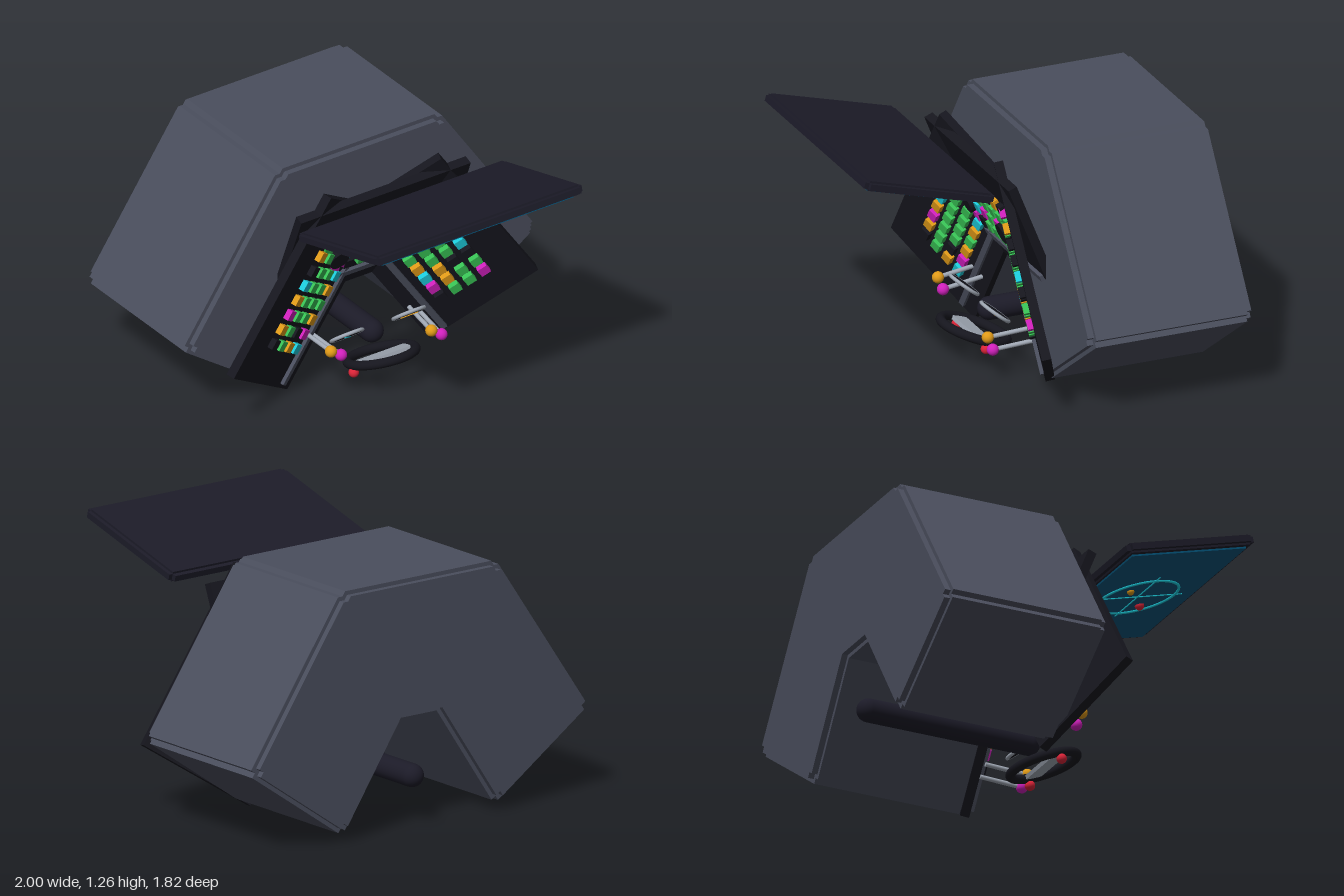
import * as THREE from 'three';

const mat = (name, color) => {
  const m = new THREE.MeshStandardMaterial({ color });
  m.name = name;
  return m;
};
const M = {
  body: mat('slate grey', 0x4a4e5d), console: mat('console black', 0x16161e),
  shell: mat('shell dark', 0x1c1b28), metal: mat('light metal', 0xa0a8b4),
  screen: mat('deep teal', 0x02547a), c: mat('cyan', 0x1cccdc),
  g: mat('green', 0x38c255), m: mat('magenta', 0xd020bc),
  o: mat('orange', 0xe09a18), r: mat('red', 0xdc2438),
};
const RAD = Math.PI / 180;
const TILT = 21.7 * RAD;   // how far each control panel leans
const WING = 55 * RAD;     // how far the side panels turn

function add(parent, name, geo, material, x = 0, y = 0, z = 0) {
  const mesh = new THREE.Mesh(geo, material);
  mesh.name = name;
  mesh.position.set(x, y, z);
  parent.add(mesh);
  return mesh;
}
function group(parent, name, x, y, z) {
  const g = new THREE.Group();
  g.name = name;
  g.position.set(x, y, z);
  parent.add(g);
  return g;
}
const box = (w, h, d) => new THREE.BoxGeometry(w, h, d);
const ball = (r) => new THREE.SphereGeometry(r, 20, 14);

// Round bar between two points
function rod(parent, name, a, b, r, material) {
  const p = new THREE.Vector3(...a), q = new THREE.Vector3(...b);
  const dir = q.clone().sub(p);
  const mesh = add(parent, name, new THREE.CylinderGeometry(r, r, dir.length(), 14), material);
  mesh.position.copy(p).add(q).multiplyScalar(0.5);
  mesh.quaternion.setFromUnitVectors(new THREE.Vector3(0, 1, 0), dir.normalize());
}

// Arch outline, moved inward by an inset, with stepped outer corners
function archShape(inset) {
  const raw = [[0.455, 0.024], [1.016, 0.412], [0.465, 1.215], [-0.465, 1.215], [-1.016, 0.412], [-0.455, 0.024],
    [-0.11, 0.54], [0.11, 0.54]].map((p) => new THREE.Vector2(...p));
  const n = raw.length, step = 0.028, out = [];
  raw.forEach((v, i) => {
    const d1 = v.clone().sub(raw[(i + n - 1) % n]).normalize();
    const d2 = raw[(i + 1) % n].clone().sub(v).normalize();
    const n1 = new THREE.Vector2(-d1.y, d1.x), n2 = new THREE.Vector2(-d2.y, d2.x);
    const k = inset / (1 + n1.dot(n2));
    const c = v.clone().addScaledVector(n1, k).addScaledVector(n2, k);
    if (i > 5) { out.push(c); return; }
    const before = c.clone().addScaledVector(d1, -step);
    out.push(before, before.clone().addScaledVector(d2, step), c.clone().addScaledVector(d2, step));
  });
  return new THREE.Shape(out);
}
function slab(parent, name, inset, z0, z1) {
  const geo = new THREE.ExtrudeGeometry(archShape(inset), { depth: z1 - z0, bevelEnabled: false });
  add(parent, name, geo, M.body, 0, 0, z0);
}

// Tilted control panel: x runs along it, y away from the inner edge, z out of its face
function controlPanel(parent, name, x, y, turn, rows) {
  const p = group(parent, name, x, y, -0.1);
  p.rotation.order = 'ZXY';
  p.rotation.set(TILT, 0, turn);
  add(p, 'panelBoard', box(0.975, 0.61, 0.045), M.console, 0, 0.305, -0.0225);
  add(p, 'innerRail', box(0.93, 0.03, 0.02), M.body, 0, 0.09, 0.008);
  rows.forEach((row, j) => [...row].forEach((key, i) => {
    add(p, 'button', box(0.05, 0.05, 0.03), M[key] || M.console, (i - 3.5) * 0.0785, 0.176 + j * 0.08, 0.013);
  }));
}

export function createModel() {
  const root = new THREE.Group();
  root.name = 'cockpitConsole';

  // Arched cabinet with stepped edges
  const cabinet = group(root, 'cabinet', 0, 0, 0);
  slab(cabinet, 'cabinetCore', 0, -0.88, -0.1);
  slab(cabinet, 'cabinetFaces', 0.02, -0.91, -0.068);

  // Control panels; button rows run from the inner edge outward, d is dark
  controlPanel(root, 'centerPanel', 0, 0.473, 0, ['dmdgggmd', 'ddcmgmdd', 'gggggggg', 'domgcdod']);
  controlPanel(root, 'rightPanel', -0.131, 0.396, WING, ['cmogocmd', 'odggggdd', 'gggggggg', 'domocdom']);
  controlPanel(root, 'leftPanel', 0.131, 0.396, -WING, ['dmggocmd', 'ddgggoog', 'gggggdgg', 'moddcdgm']);

  for (const s of [-1, 1]) {
    // Round knob over each panel seam
    const knob = add(root, 'knob', new THREE.CylinderGeometry(0.052, 0.052, 0.06, 24), M.console, s * 0.203, 0.705, 0.01);
    knob.rotation.x = Math.PI / 2 + TILT;

    // Dial with rim and needle
    const dial = group(root, 'dial', s * 0.178, 0.29, 0.058);
    dial.rotation.x = 51 * RAD;
    const face = add(dial, 'dialFace', new THREE.CylinderGeometry(0.08, 0.08, 0.015, 32), M.console);
    face.rotation.x = Math.PI / 2;
    add(dial, 'dialRim', new THREE.TorusGeometry(0.079, 0.009, 8, 36), M.metal);
    const needle = add(dial, 'needle', box(0.09, 0.008, 0.004), s < 0 ? M.c : M.o, 0, 0, 0.01);
    needle.rotation.z = s < 0 ? -0.8 : 0.4;
  }

  // Levers with coloured ball ends
  const levers = [[-0.32, 0.285, 'o'], [-0.262, 0.247, 'm'], [0.257, 0.203, 'o'], [0.315, 0.163, 'm']];
  for (const [x, y, key] of levers) {
    const lever = group(root, 'lever', 0, 0, 0);
    rod(lever, 'leverRod', [x + Math.sign(x) * 0.02, y + 0.02, -0.08], [x, y, 0.13], 0.011, M.metal);
    add(lever, 'leverBall', ball(0.029), M[key], x, y, 0.13);
  }

  // Steering column running through the arch
  const column = add(root, 'steeringColumn', new THREE.CapsuleGeometry(0.057, 0.84, 8, 24), M.shell, 0, 0.232, -0.412);
  column.rotation.x = Math.PI / 2;

  // Steering wheel
  const wheel = group(root, 'steeringWheel', 0, 0.137, 0.088);
  wheel.rotation.x = -20 * RAD;
  const rim = add(wheel, 'wheelRim', new THREE.TorusGeometry(0.165, 0.023, 14, 48), M.console);
  rim.rotation.x = Math.PI / 2;
  add(wheel, 'wheelSpoke', box(0.31, 0.02, 0.08), M.metal, 0, 0, 0.015);
  for (const s of [-1, 1]) add(wheel, 'wheelButton', ball(0.025), M.r, s * 0.168, -0.035, 0);

  // Overhead display, its picture on the underside
  const display = group(root, 'overheadDisplay', 0, 1.148, 0.573);
  display.rotation.x = -15.5 * RAD;
  add(display, 'displayCore', box(1.19, 0.03, 0.645), M.shell);
  add(display, 'displayFaces', box(1.15, 0.05, 0.645), M.shell);
  add(display, 'displayEnds', box(1.15, 0.03, 0.69), M.shell);
  add(display, 'displayGlass', box(1.1, 0.009, 0.62), M.screen, 0, -0.029, 0);
  const ring = add(display, 'scanRing', new THREE.TorusGeometry(0.2, 0.007, 8, 56), M.c, 0, -0.036, 0);
  ring.rotation.x = Math.PI / 2;
  add(display, 'scanLine', box(0.48, 0.005, 0.006), M.c, 0, -0.035, 0);
  add(display, 'scanLine', box(0.006, 0.005, 0.48), M.c, 0, -0.035, 0);
  add(display, 'redBlip', ball(0.023), M.r, 0.118, -0.036, 0.07);
  add(display, 'orangeBlip', ball(0.018), M.o, -0.08, -0.036, -0.08);

  return root;
}
